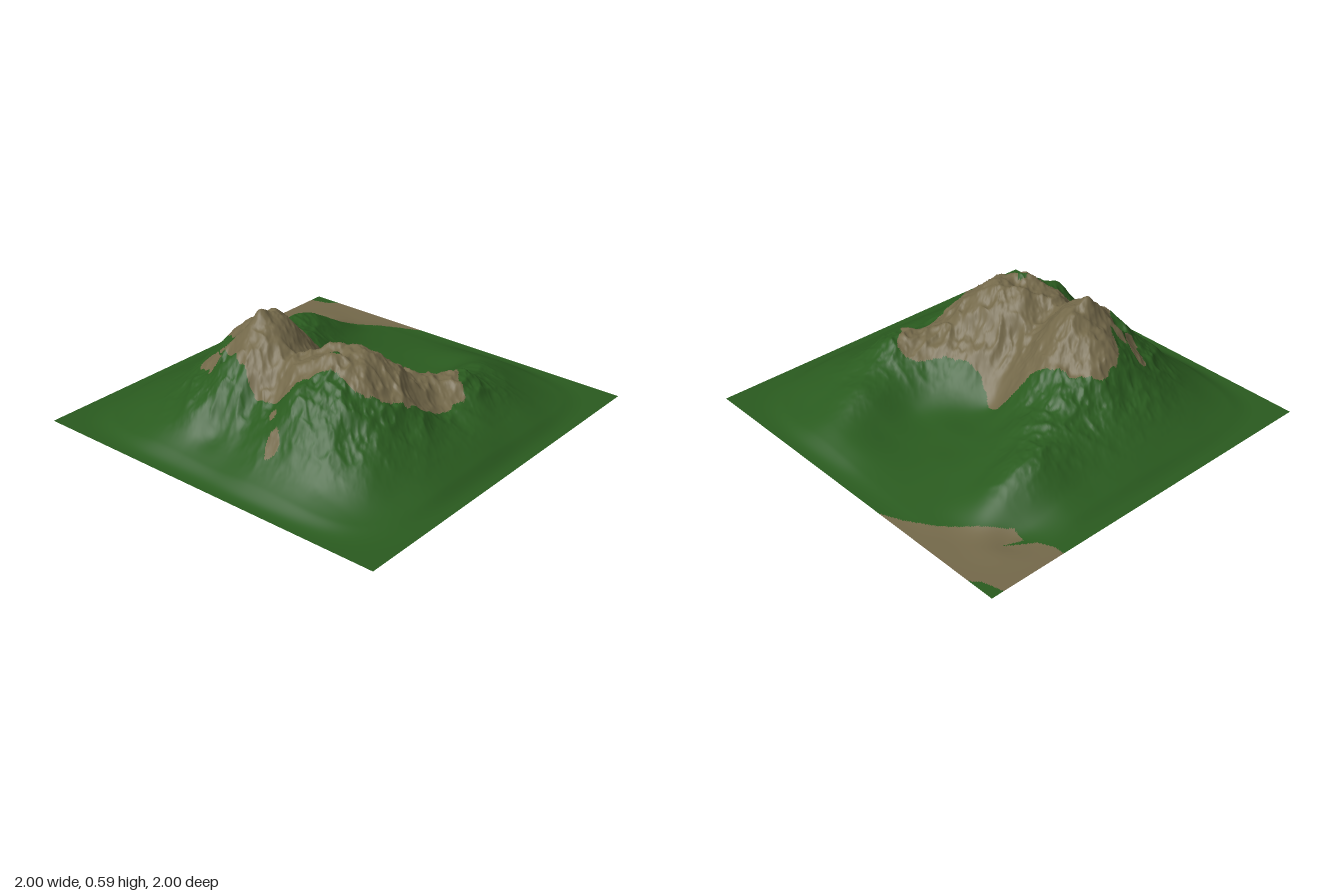
import * as THREE from 'three';

const GRID = 260;

// Heights of the land along cross-sections, 0.2 apart, running west to east
const SECTIONS = [
  [.02, .05, .08, .09, .09, .08, .07, .02, .01],
  [.05, .13, .20, .23, .21, .20, .21, .12, .015],
  [.10, .25, .38, .44, .32, .23, .13, .06, .02],
  [.11, .36, .51, .52, .33, .12, .06, .04, .02],
  [.09, .25, .44, .39, .21, .06, .04, .03, .03],
  [.12, .34, .47, .48, .32, .14, .05, .05, .06],
  [.11, .32, .43, .46, .34, .24, .17, .15, .08],
  [.07, .20, .26, .27, .20, .23, .19, .11, .04],
  [.02, .06, .10, .11, .11, .10, .09, .05, .015],
];

// Local bumps: x, z, height, radius
const BUMPS = [
  [-.33, -.22, .07, .05], [-.2, -.2, .02, .07], [-.37, .25, .045, .05],
  [-.22, .12, .035, .06], [-.2, .33, .02, .06], [-.35, -.12, .025, .06], [-.3, -.02, -.01, .05],
  [.12, -.06, -.03, .08], [-.5, -.29, -.03, .06], [-.73, -.15, -.04, .08], [-.72, -.3, .025, .08],
  [-.58, .22, .03, .07], [.25, .53, .045, .11], [.68, -.75, -.02, .1], [.12, -.33, -.02, .07],
];

// Bare rock outlines in x, z
const ROCK = [
  [-.2, -.5], [-.11, -.48], [-.04, -.37], [0, -.26], [.04, -.18], [.12, -.14], [.14, -.05],
  [.1, .03], [.09, .17], [.16, .28], [.25, .36], [.3, .48], [.2, .56], [.16, .63], [.05, .62],
  [-.12, .6], [-.3, .54], [-.4, .46], [-.41, .32], [-.47, .22], [-.56, .13], [-.57, -.05],
  [-.53, -.18], [-.48, -.3], [-.43, -.4], [-.39, -.33], [-.33, -.44],
];
const PATCHES = [
  [[-.55, -.35], [-.51, -.4], [-.49, -.49], [-.44, -.48], [-.46, -.37], [-.52, -.33]],
  [[-.78, .2], [-.71, .17], [-.69, .22], [-.76, .25]],
  [[-.65, .13], [-.62, .11], [-.61, .14], [-.63, .15]],
];
const MEADOW = [[-.37, .24], [-.34, .23], [-.32, .26], [-.34, .28]];
const CORNER = [
  [.58, -1.01], [.58, -.95], [.62, -.87], [.75, -.78], [.65, -.82], [.64, -.75], [.72, -.68],
  [.8, -.58], [.88, -.48], [.95, -.36], [1.01, -.22], [1.01, -.84], [.96, -.9], [.93, -1.01],
];

// Seeded smooth noise, from -1 to 1
function hash(i, j) {
  let n = Math.imul(i, 374761393) + Math.imul(j, 668265263) + 1013;
  n = Math.imul(n ^ (n >>> 13), 1274126177);
  return ((n ^ (n >>> 16)) >>> 0) / 2147483648 - 1;
}
function noise(x, y) {
  const i = Math.floor(x), j = Math.floor(y);
  const s = (t) => t * t * t * (t * (t * 6 - 15) + 10);
  const u = s(x - i), v = s(y - j);
  const a = THREE.MathUtils.lerp(hash(i, j), hash(i + 1, j), u);
  const b = THREE.MathUtils.lerp(hash(i, j + 1), hash(i + 1, j + 1), u);
  return THREE.MathUtils.lerp(a, b, v);
}

// Smooth curve through four neighbouring values
function cubic(a, b, c, d, t) {
  return b + .5 * t * (c - a + t * (2 * a - 5 * b + 4 * c - d + t * (3 * (b - c) + d - a)));
}
function sample(i, j) {
  const row = SECTIONS[j];
  return (row && row[i]) || 0;
}

function height(x, z) {
  const gx = (x + .8) / .2, gz = (z + .8) / .2;
  const i = Math.floor(gx), j = Math.floor(gz);
  const rows = [-1, 0, 1, 2].map((k) =>
    cubic(sample(i - 1, j + k), sample(i, j + k), sample(i + 1, j + k), sample(i + 2, j + k), gx - i));
  let h = Math.max(0, cubic(...rows, gz - j));
  for (const [bx, bz, bh, r] of BUMPS) {
    h += bh * Math.exp(-((x - bx) ** 2 + (z - bz) ** 2) / (r * r));
  }
  // Eroded crags grow with height; each octave is turned so no direction shows
  let crag = 0;
  for (let k = 0, f = 8, amp = .017; k < 4; k++, f *= 2, amp *= .5) {
    const c = Math.cos(.6 + k), s = Math.sin(.6 + k);
    crag += amp * (.6 - 2 * Math.abs(noise((x * c - z * s) * f + 17 * k, (x * s + z * c) * f + 5)));
  }
  h += crag * THREE.MathUtils.smoothstep(h, .05, .35);
  // Flatten to the plain along a rounded square
  const edge = (x ** 6 + z ** 6) ** (1 / 6);
  return Math.max(0, h) * (1 - THREE.MathUtils.smoothstep(edge, .88, 1));
}

function inside(poly, x, z) {
  let hit = false;
  for (let i = 0, j = poly.length - 1; i < poly.length; j = i++) {
    const [ax, az] = poly[i], [bx, bz] = poly[j];
    if ((az > z) !== (bz > z) && x < (bx - ax) * (z - az) / (bz - az) + ax) hit = !hit;
  }
  return hit;
}

function smoothOutline(points) {
  const curve = new THREE.CatmullRomCurve3(points.map(([x, z]) => new THREE.Vector3(x, 0, z)), true);
  return curve.getPoints(points.length * 4).map((p) => [p.x, p.z]);
}

export function createModel() {
  const group = new THREE.Group();
  group.name = 'mountain';
  const grass = new THREE.MeshStandardMaterial({ color: 0x2a5b1f, side: THREE.DoubleSide });
  grass.name = 'grass green';
  const rock = new THREE.MeshStandardMaterial({ color: 0x74694a, side: THREE.DoubleSide });
  rock.name = 'rock brown';

  // One open sheet of land, raised by the height rule
  const land = new THREE.PlaneGeometry(2, 2, GRID, GRID).rotateX(-Math.PI / 2);
  const pos = land.attributes.position;
  for (let i = 0; i < pos.count; i++) pos.setY(i, height(pos.getX(i), pos.getZ(i)));
  land.computeVertexNormals();

  // Sort the faces into grass and bare rock
  const outlines = [ROCK, ...PATCHES].map(smoothOutline);
  const index = land.index.array, faces = { grass: [], rock: [] };
  for (let f = 0; f < index.length; f += 3) {
    const tri = [index[f], index[f + 1], index[f + 2]];
    const x = tri.reduce((s, v) => s + pos.getX(v), 0) / 3;
    const z = tri.reduce((s, v) => s + pos.getZ(v), 0) / 3;
    const wx = x + .012 * noise(x * 22, z * 22), wz = z + .012 * noise(x * 22 + 40, z * 22);
    const bare = inside(CORNER, x, z)
      || (outlines.some((poly) => inside(poly, wx, wz)) && !inside(MEADOW, x, z));
    faces[bare ? 'rock' : 'grass'].push(...tri);
  }

  // Both surfaces share the same points and normals, so the shading is seamless
  for (const [name, material] of [['grass', grass], ['rock', rock]]) {
    const geometry = new THREE.BufferGeometry();
    geometry.setAttribute('position', pos);
    geometry.setAttribute('normal', land.attributes.normal);
    geometry.setIndex(faces[name]);
    const mesh = new THREE.Mesh(geometry, material);
    mesh.name = name === 'grass' ? 'grassSlopes' : 'bareRock';
    group.add(mesh);
  }
  return group;
}
